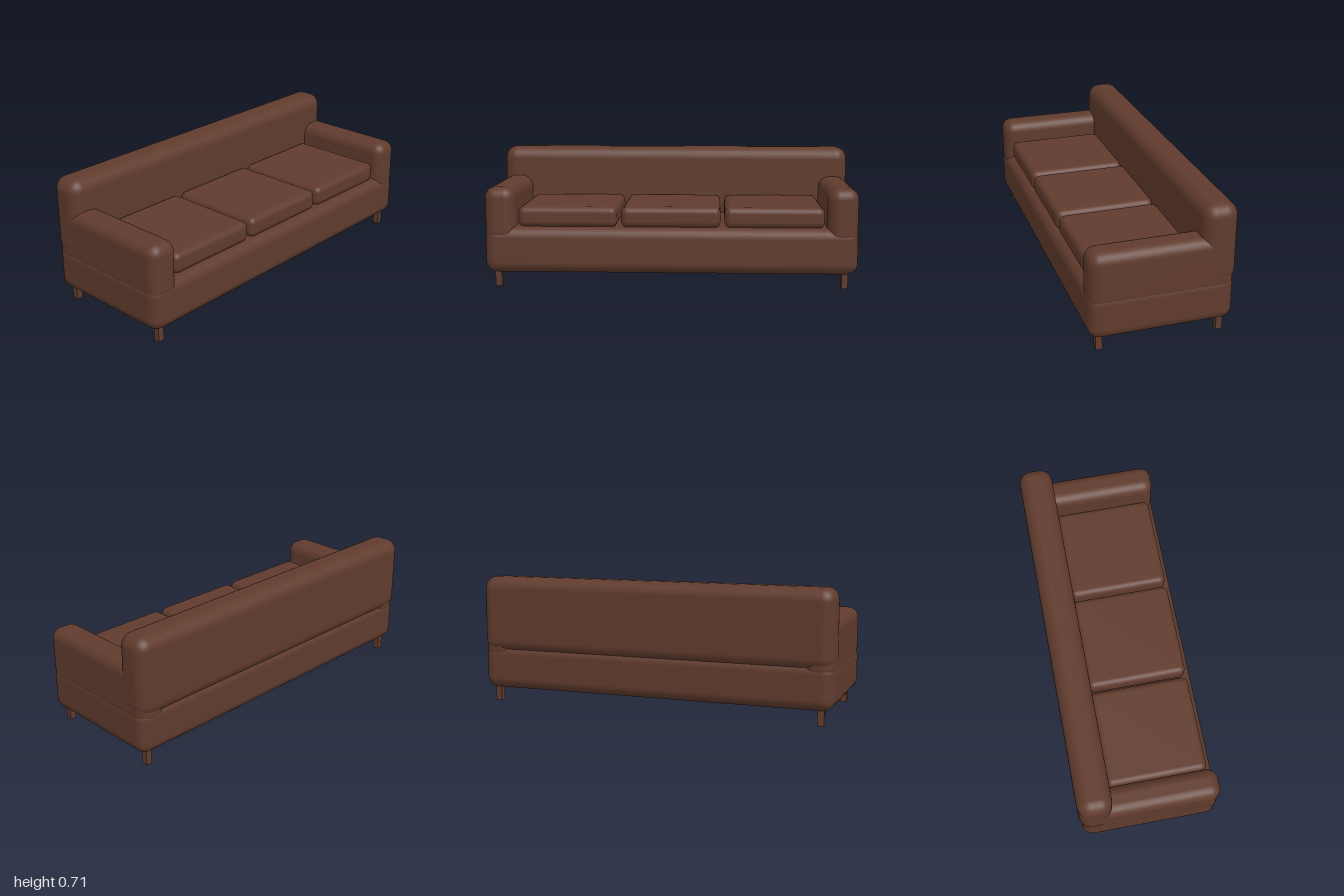
import * as THREE from 'three';
import { RoundedBoxGeometry } from 'three/addons/geometries/RoundedBoxGeometry.js';

export function createModel() {
  const sofa = new THREE.Group();
  sofa.name = 'sofa';
  const leather = new THREE.MeshStandardMaterial({ color: 0x603b2d });
  leather.name = 'brown leather';

  // Adds a box given its [min, max] extents; radius 0 gives sharp edges
  function block(name, [x0, x1], [y0, y1], [z0, z1], radius) {
    const size = [x1 - x0, y1 - y0, z1 - z0];
    const geometry = radius
      ? new RoundedBoxGeometry(...size, 4, radius)
      : new THREE.BoxGeometry(...size);
    const mesh = new THREE.Mesh(geometry, leather);
    mesh.name = name;
    mesh.position.set((x0 + x1) / 2, (y0 + y1) / 2, (z0 + z1) / 2);
    sofa.add(mesh);
  }

  // Upholstered body
  block('base', [-1, 1], [0.077, 0.328], [-0.37, 0.38], 0.06);
  block('backrest', [-1, 1], [0.285, 0.71], [-0.38, -0.196], 0.068);

  // Arms
  block('leftArm', [0.835, 0.998], [0.24, 0.542], [-0.369, 0.379], 0.06);
  block('rightArm', [-0.998, -0.835], [0.24, 0.542], [-0.369, 0.379], 0.06);

  // Three seat cushions
  for (let i = -1; i <= 1; i++) {
    const x = i * 0.555;
    block('seatCushion', [x - 0.267, x + 0.267], [0.322, 0.435], [-0.205, 0.345], 0.035);
  }

  // Four square legs
  for (const x of [-0.932, 0.932]) {
    for (const z of [-0.313, 0.322]) {
      block('leg', [x - 0.017, x + 0.017], [0, 0.1], [z - 0.017, z + 0.017], 0);
    }
  }

  return sofa;
}
